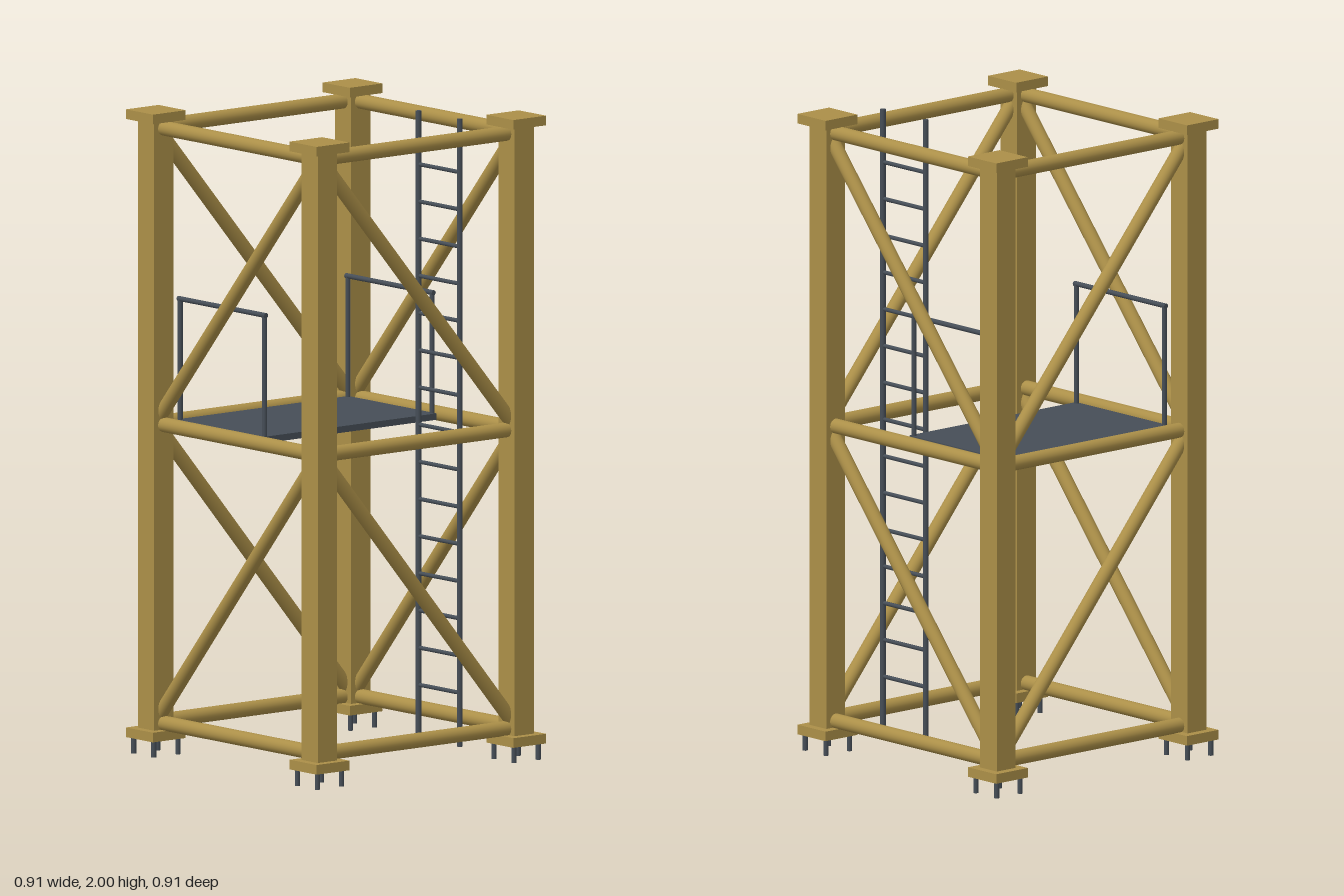
import * as THREE from 'three';

const tan = new THREE.MeshStandardMaterial({ color: 0xab8f48 });
tan.name = 'ochre paint';
const steel = new THREE.MeshStandardMaterial({ color: 0x464e57 });
steel.name = 'dark steel';

const C = 0.392; // column centre offset from the tower axis
const LEVELS = [0.1, 1.027, 1.948]; // heights of the horizontal beams

function box(name, size, pos, material, parent) {
  const mesh = new THREE.Mesh(new THREE.BoxGeometry(...size), material);
  mesh.name = name;
  mesh.position.set(...pos);
  parent.add(mesh);
}

// Round bar between two points
function bar(name, a, b, radius, material, parent, sides = 24) {
  const start = new THREE.Vector3(...a);
  const dir = new THREE.Vector3(...b).sub(start);
  const mesh = new THREE.Mesh(new THREE.CylinderGeometry(radius, radius, dir.length(), sides), material);
  mesh.name = name;
  mesh.position.copy(start).addScaledVector(dir, 0.5);
  mesh.quaternion.setFromUnitVectors(new THREE.Vector3(0, 1, 0), dir.normalize());
  parent.add(mesh);
}

function group(name, parent) {
  const g = new THREE.Group();
  g.name = name;
  parent.add(g);
  return g;
}

export function createModel() {
  const tower = new THREE.Group();
  tower.name = 'scaffoldTower';

  // Corner columns with cap plates, base plates and anchor bolts
  for (const sx of [-1, 1]) for (const sz of [-1, 1]) {
    const corner = group('cornerColumn', tower);
    const x = sx * C, z = sz * C;
    box('column', [0.077, 1.9, 0.077], [x, 1.025, z], tan, corner);
    box('capPlate', [0.13, 0.03, 0.13], [x, 1.985, z], tan, corner);
    box('basePlate', [0.13, 0.03, 0.13], [x, 0.065, z], tan, corner);
    for (const bx of [-1, 1]) for (const bz of [-1, 1]) {
      const px = x + bx * 0.048, pz = z + bz * 0.048;
      bar('anchorBolt', [px, 0, pz], [px, 0.06, pz], 0.008, steel, corner, 12);
    }
  }

  // Horizontal beams and diagonal braces on all four faces
  const frame = group('frame', tower);
  for (const s of [-1, 1]) {
    for (const y of LEVELS) {
      bar('crossBeam', [-C, y, s * C], [C, y, s * C], 0.023, tan, frame);
      bar('sideBeam', [s * C, y, -C], [s * C, y, C], 0.023, tan, frame);
    }
    for (let i = 0; i < 2; i++) {
      const low = LEVELS[i], high = LEVELS[i + 1];
      bar('crossBrace', [-C, low, s * C], [C, high, s * C], 0.022, tan, frame);
      bar('sideBrace', [s * C, low, -C], [s * C, high, C], 0.022, tan, frame);
    }
  }

  // Work platform with a guard rail at each end
  const deck = group('platform', tower);
  box('deckPlate', [0.423, 0.02, 0.686], [-0.1415, 1.028, 0], steel, deck);
  for (const s of [-1, 1]) {
    const z = s * 0.334;
    for (const x of [-0.345, 0.059]) bar('railPost', [x, 1.03, z], [x, 1.415, z], 0.008, steel, deck, 12);
    bar('handRail', [-0.353, 1.413, z], [0.067, 1.413, z], 0.008, steel, deck, 12);
  }

  // Ladder
  const ladder = group('ladder', tower);
  const lz = -0.217;
  for (const x of [0.135, 0.332]) bar('ladderRail', [x, 0.05, lz], [x, 2, lz], 0.009, steel, ladder, 12);
  for (let i = 0; i < 15; i++) {
    const y = 0.217 + i * 0.1155;
    bar('rung', [0.135, y, lz], [0.332, y, lz], 0.0065, steel, ladder, 12);
  }

  return tower;
}
